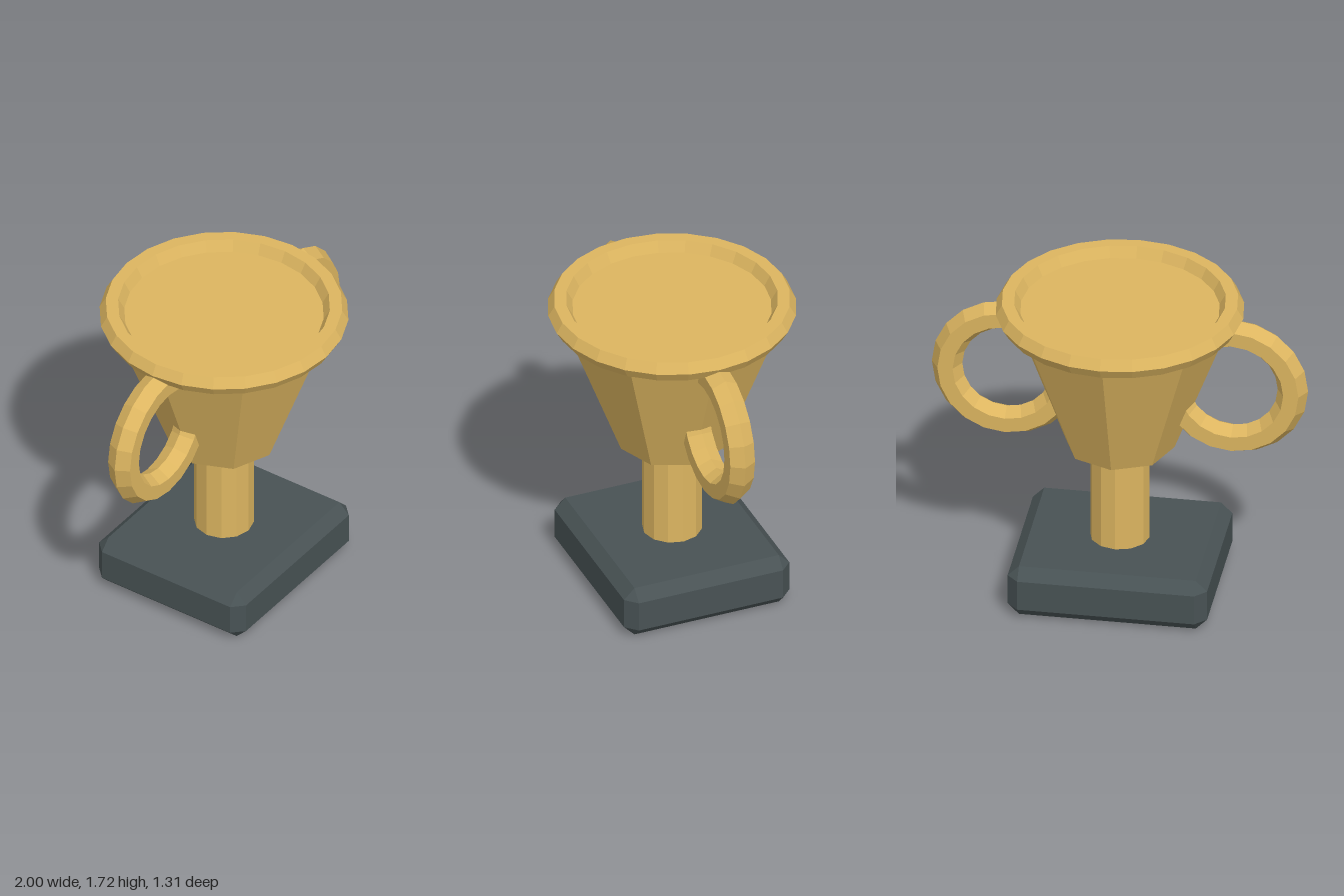
import * as THREE from 'three';
import { ConvexGeometry } from 'three/addons/geometries/ConvexGeometry.js';

const gold = new THREE.MeshStandardMaterial({ color: 0xdcb560, flatShading: true });
const slate = new THREE.MeshStandardMaterial({ color: 0x485254, flatShading: true });

// Box with all edges cut at 45 degrees, standing on y = 0
function chamferedBox(w, h, d, c) {
  const points = [];
  for (const sx of [-1, 1]) for (const sy of [-1, 1]) for (const sz of [-1, 1]) {
    for (const [a, b, e] of [[0, c, c], [c, 0, c], [c, c, 0]]) {
      points.push(new THREE.Vector3(sx * (w / 2 - a), h / 2 + sy * (h / 2 - b), sz * (d / 2 - e)));
    }
  }
  return new ConvexGeometry(points);
}

export function createModel() {
  const model = new THREE.Group();
  model.name = 'trophy';

  const add = (name, geometry, material, x, y) => {
    const mesh = new THREE.Mesh(geometry, material);
    mesh.name = name;
    mesh.position.set(x, y, 0);
    model.add(mesh);
    return mesh;
  };

  // Plinth and stem
  add('base', chamferedBox(1.06, 0.29, 0.94, 0.06), slate, 0, 0);
  const stemBottom = 0.27, stemTop = 0.87;
  add('stem', new THREE.CylinderGeometry(0.158, 0.158, stemTop - stemBottom, 12), gold, 0, (stemBottom + stemTop) / 2);

  // Eight-sided bowl, closed at the middle of the rim
  const bowlBottom = 0.85, rimY = 1.664;
  add('bowl', new THREE.CylinderGeometry(0.6, 0.29, rimY - bowlBottom, 8), gold, 0, (bowlBottom + rimY) / 2);

  // Faceted rim
  add('rim', new THREE.TorusGeometry(0.59, 0.065, 6, 24).rotateX(Math.PI / 2), gold, 0, rimY);

  // Ring handles, sunk into the bowl
  for (const [name, side] of [['leftHandle', 1], ['rightHandle', -1]]) {
    add(name, new THREE.TorusGeometry(0.318, 0.081, 6, 20), gold, side * 0.601, 1.255);
  }

  return model;
}
